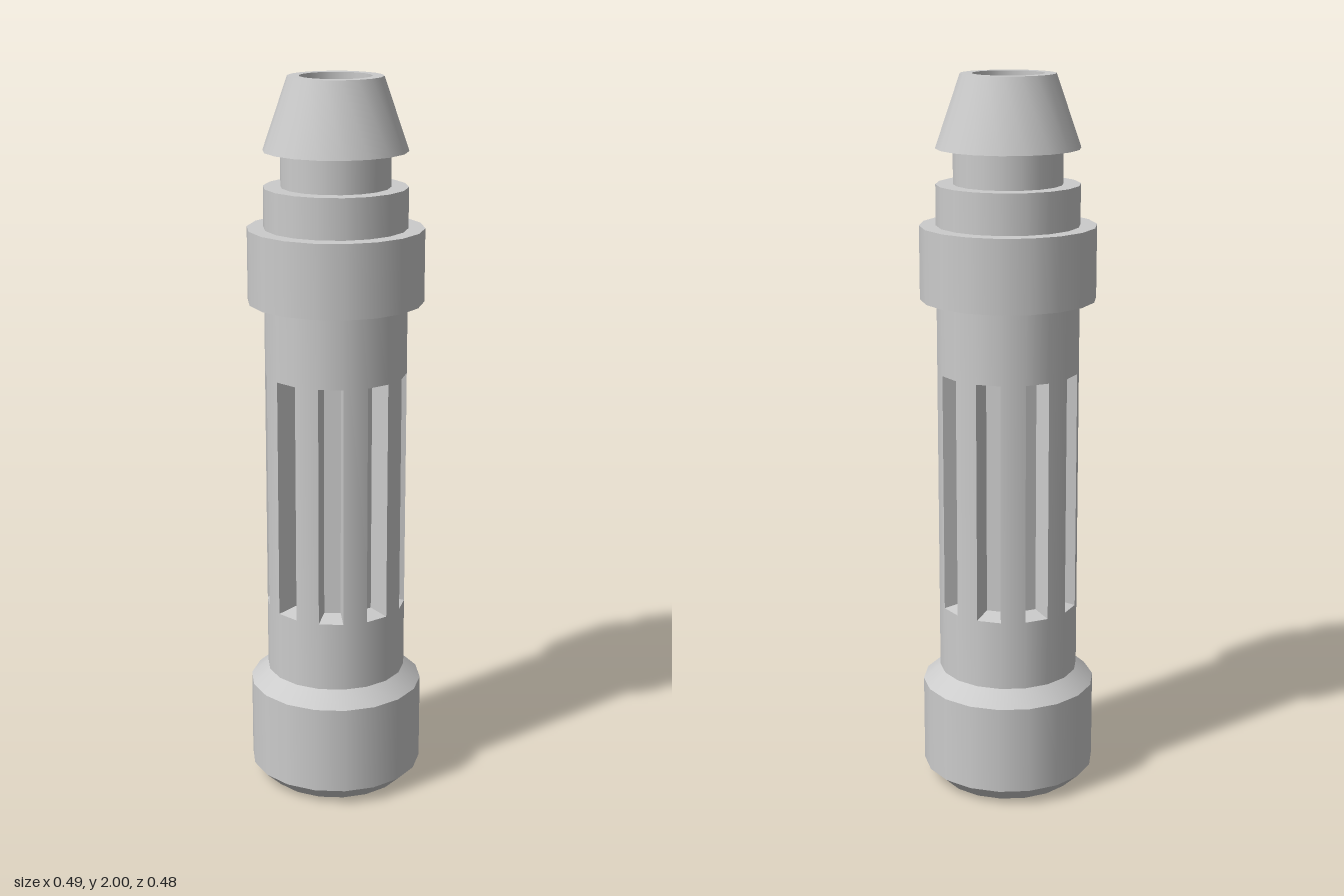
import * as THREE from 'three';

const SIDES = 18;
const STEP = (Math.PI * 2) / SIDES;
const material = new THREE.MeshStandardMaterial({ color: 0xcccccc, side: THREE.DoubleSide });

// Turned part: every profile segment is its own band, so rings stay sharp
// while the shading runs smoothly around the axis.
function turned(name, profile, start = Math.PI / 2, segments = SIDES) {
  const group = new THREE.Group();
  group.name = name;
  for (let i = 0; i < profile.length - 1; i++) {
    const points = [profile[i], profile[i + 1]].map(([r, y]) => new THREE.Vector2(r, y));
    const band = new THREE.Mesh(new THREE.LatheGeometry(points, segments, start, segments * STEP), material);
    band.name = name + 'Band';
    group.add(band);
  }
  return group;
}

// Recessed slot filling one facet of the grip, facing +z
function slotGeometry(radius, low, high, depth, inset) {
  const w = radius * Math.sin(STEP / 2);
  const z = radius * Math.cos(STEP / 2);
  const rect = (hw, y0, y1, d) => [[-hw, y0, d], [hw, y0, d], [hw, y1, d], [-hw, y1, d]];
  const outer = rect(w, low, high, z);
  const inner = rect(w - inset, low + inset, high - inset, z - depth);
  const positions = [];
  const quad = (a, b, c, d) => positions.push(...a, ...b, ...c, ...a, ...c, ...d);
  for (let i = 0; i < 4; i++) {
    const j = (i + 1) % 4;
    quad(outer[i], outer[j], inner[j], inner[i]);
  }
  quad(...inner);
  const geometry = new THREE.BufferGeometry();
  geometry.setAttribute('position', new THREE.Float32BufferAttribute(positions, 3));
  geometry.computeVertexNormals();
  return geometry;
}

export function createModel() {
  const model = new THREE.Group();
  model.name = 'handle';
  const R = 0.195;
  const low = 0.53;
  const high = 1.2;

  // Bevelled base, open underneath
  model.add(turned('base', [[0.195, 0], [0.243, 0.045], [0.243, 0.293], [R, 0.335]]));

  // Plain grip below and above the slots
  model.add(turned('lowerGrip', [[R, 0.335], [R, low]]));
  model.add(turned('upperGrip', [[R, high], [R, 1.4]]));

  // Alternating ribs and slots
  const slot = slotGeometry(R, low, high, 0.057, 0.011);
  for (let i = 0; i < SIDES / 2; i++) {
    const angle = i * STEP * 2;
    model.add(turned('rib', [[R, low], [R, high]], angle - STEP / 2, 1));
    const mesh = new THREE.Mesh(slot, material);
    mesh.name = 'slot';
    mesh.rotation.y = angle + STEP;
    model.add(mesh);
  }

  // Wide collar with the shoulder above it
  model.add(turned('collar', [[R, 1.4], [0.24, 1.4], [0.24, 1.6], [R, 1.6]]));
  model.add(turned('shoulder', [[R, 1.6], [R, 1.71], [0.148, 1.71]]));
  model.add(turned('neck', [[0.148, 1.71], [0.148, 1.805]]));

  // Tapered emitter with a shallow bore
  model.add(turned('emitter', [[0.148, 1.805], [R, 1.805], [0.128, 2], [0.097, 2]]));
  model.add(turned('bore', [[0.097, 2], [0.097, 1.93], [0, 1.915]]));

  return model;
}
